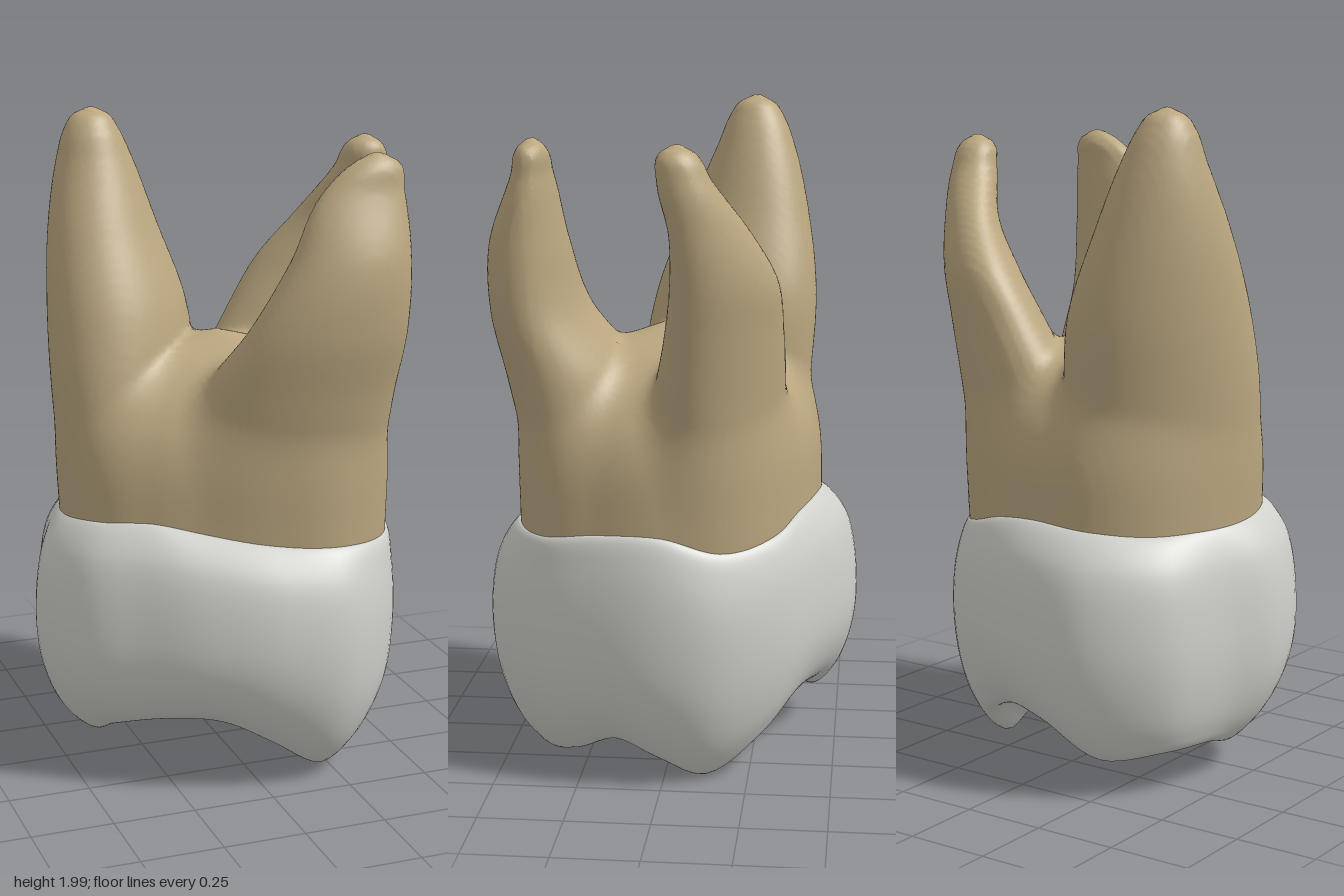
import * as THREE from 'three';

const V = (x, y, z) => new THREE.Vector3(x, y, z);
const mix = THREE.MathUtils.lerp;

function smoothMesh(pos, index, material, name) {
  const g = new THREE.BufferGeometry();
  g.setAttribute('position', new THREE.Float32BufferAttribute(pos, 3));
  g.setIndex(index);
  g.computeVertexNormals();
  const mesh = new THREE.Mesh(g, material);
  mesh.name = name;
  return mesh;
}

// Smooth surface through closed rings of points, ordered from top to bottom.
function loft(rings, material, name, cols, rows) {
  const curves = rings.map(r => new THREE.CatmullRomCurve3(r, true));
  const pos = [], index = [];
  for (let i = 0; i < cols; i++) {
    const column = new THREE.CatmullRomCurve3(curves.map(c => c.getPoint(i / cols)));
    for (let j = 0; j <= rows; j++) pos.push(...column.getPoint(j / rows).toArray());
  }
  const at = (i, j) => (i % cols) * (rows + 1) + j;
  for (let i = 0; i < cols; i++) {
    for (let j = 0; j < rows; j++) {
      const a = at(i, j), b = at(i + 1, j), c = at(i + 1, j + 1), d = at(i, j + 1);
      index.push(a, b, d, b, c, d);
    }
  }
  return smoothMesh(pos, index, material, name);
}

// Smooth interpolation of rows [key, ...values] by ascending key.
const spline = rows => new THREE.CubicInterpolant(
  rows.map(r => r[0]), rows.flatMap(r => r.slice(1)), rows[0].length - 1);

// Mesh of the surface where field(x, y, z) is zero (negative inside).
function skin(field, min, size, step, material, name) {
  const n = size.map(s => Math.round(s / step) + 1);
  const id = p => (p[1] * n[2] + p[2]) * n[0] + p[0];
  const values = new Float32Array(n[0] * n[1] * n[2]);
  const eachPoint = visit => {
    for (let j = 0; j < n[1] - 1; j++) for (let k = 0; k < n[2] - 1; k++) for (let i = 0; i < n[0] - 1; i++) visit([i, j, k]);
  };
  values.fill(1);
  eachPoint(p => { values[id(p)] = field(...p.map((c, a) => min[a] + c * step)); });
  const shift = (p, a, d) => p.map((c, i) => (i === a ? c + d : c));
  const pos = [], index = [], made = new Map();
  // One vertex per cell, at the mean of its edge crossings
  const vertex = cell => {
    if (made.has(id(cell))) return made.get(id(cell));
    const sum = [0, 0, 0];
    let count = 0;
    for (let c = 0; c < 8; c++) {
      const p = [cell[0] + (c & 1), cell[1] + (c >> 1 & 1), cell[2] + (c >> 2)];
      for (let a = 0; a < 3; a++) {
        if (c >> a & 1) continue;
        const f = values[id(p)], h = values[id(shift(p, a, 1))];
        if ((f < 0) === (h < 0)) continue;
        shift(p, a, f / (f - h)).forEach((v, i) => { sum[i] += v; });
        count++;
      }
    }
    pos.push(...sum.map((v, i) => min[i] + v / count * step));
    made.set(id(cell), pos.length / 3 - 1);
    return pos.length / 3 - 1;
  };
  // One quad across each grid edge that crosses the surface
  eachPoint(p => {
    for (let a = 0; a < 3; a++) {
      const inside = values[id(p)] < 0, u = (a + 1) % 3, v = (a + 2) % 3;
      if (inside === values[id(shift(p, a, 1))] < 0 || p[u] < 1 || p[v] < 1) continue;
      const q = [p, shift(p, u, -1), shift(shift(p, u, -1), v, -1), shift(p, v, -1)].map(vertex);
      if (!inside) q.reverse();
      index.push(q[0], q[1], q[2], q[0], q[2], q[3]);
    }
  });
  return smoothMesh(pos, index, material, name);
}

// Outlines of the tooth, sixteen points around from +x towards +z: [x, z, y]
const NECK = [
  [.49, 0, .77], [.47, .19, .77], [.41, .36, .75], [.24, .455, .755],
  [.03, .42, .77], [-.16, .335, .80], [-.30, .26, .825], [-.43, .16, .815],
  [-.475, 0, .80], [-.45, -.17, .79], [-.37, -.33, .78], [-.20, -.44, .79],
  [0, -.44, .80], [.17, -.39, .78], [.32, -.32, .74], [.45, -.17, .72]];
const BELLY = [
  [.54, 0], [.505, .20], [.42, .40], [.24, .54],
  [.03, .54], [-.18, .46], [-.35, .35], [-.51, .225],
  [-.58, 0], [-.525, -.18], [-.445, -.41], [-.24, -.55],
  [0, -.54], [.20, -.46], [.38, -.345], [.51, -.17]];
const RIM = [
  [.39, .02, .068], [.37, .14, .115], [.30, .27, .055], [.20, .36, .03],
  [.04, .38, .13], [-.10, .34, .20], [-.25, .26, .20], [-.38, .14, .155],
  [-.40, 0, .09], [-.44, -.16, .13], [-.39, -.32, .13], [-.23, -.42, .105],
  [-.04, -.41, .18], [.14, -.36, .195], [.30, -.28, .12], [.35, -.12, .005]];

// Root sections from base to tip: [y, centre x, centre z, half sizes, turn]
const ROOTS = [
  [ // large back root
    [.68, -.215, -.13, .28, .2, 2.2], [1.1, -.25, -.13, .3, .21, 2.2], [1.4, -.262, -.165, .275, .205, 2.2],
    [1.65, -.295, -.2, .2, .16, 2.2], [1.85, -.312, -.22, .122, .112, 2.2], [1.94, -.32, -.22, .082, .078, 2.2],
    [1.98, -.32, -.22, .048, .048, 2.2], [2.0, -.32, -.22, 0, 0, 2.2]],
  [ // broad front root
    [.68, .13, .21, .27, .17, .28], [1.0, .13, .24, .3, .19, .28], [1.2, .155, .29, .285, .185, .25],
    [1.4, .21, .38, .235, .14, .15], [1.6, .265, .405, .18, .112, .1], [1.8, .31, .387, .122, .058, .05],
    [1.885, .35, .382, .058, .035, .05], [1.91, .35, .38, 0, 0, .05]],
  [ // curved side root
    [.68, .2, -.13, .22, .17, .4], [1.15, .265, -.155, .25, .165, .5], [1.35, .335, -.172, .22, .135, .6],
    [1.5, .395, -.175, .19, .112, .7], [1.65, .46, -.138, .137, .082, .75], [1.8, .502, -.07, .083, .07, .75],
    [1.88, .505, -.05, .048, .045, .75], [1.905, .505, -.05, 0, 0, .75]],
];

// Distance field of the three roots melting into the trunk
function rootField() {
  const roots = ROOTS.map(rows => ({ at: spline(rows), tip: rows[rows.length - 1][0] }));
  const polar = NECK.map(([x, z]) => [(Math.atan2(z, x) + 2 * Math.PI) % (2 * Math.PI), Math.hypot(x, z)]);
  const outline = spline([...polar, [2 * Math.PI, polar[0][1]]]);
  const taper = spline([[.6, .975], [.8, .985], [1, .95], [1.1, .86], [1.2, .67], [1.28, .4], [1.34, 0]]);
  const blend = (a, b, k) => Math.min(a, b) - Math.max(k - Math.abs(a - b), 0) ** 2 / (4 * k);
  return (x, y, z) => {
    const angle = (Math.atan2(z, x) + 2 * Math.PI) % (2 * Math.PI);
    const reach = outline.evaluate(angle)[0] * taper.evaluate(y)[0];
    let d = (Math.hypot(x, z) - reach) * .9 + Math.max(0, y - 1.34);
    for (const { at, tip } of roots) {
      const [cx, cz, ra, rb, turn] = at.evaluate(y);
      const a = Math.max(ra, .004), b = Math.max(rb, .004), dx = x - cx + 1e-6, dz = z - cz;
      const p = dx * Math.cos(turn) + dz * Math.sin(turn), q = dz * Math.cos(turn) - dx * Math.sin(turn);
      const k = Math.hypot(p / a, q / b);
      d = blend(d, k * (k - 1) / Math.hypot(p / a / a, q / b / b) + Math.max(0, y - tip), .07);
    }
    return d;
  };
}

export function createModel() {
  const enamel = new THREE.MeshStandardMaterial({ color: 0xd0d0cb });
  enamel.name = 'enamel';
  const dentine = new THREE.MeshStandardMaterial({ color: 0xbba780 });
  dentine.name = 'root';
  const group = new THREE.Group();
  group.name = 'molar';

  // Crown: from a tucked-in neck over the belly and cusps into the central pit
  const between = (P, Q, t, y) => P.map((p, i) => V(mix(p[0], Q[i][0], t), y(i), mix(p[1], Q[i][1], t)));
  const towardPit = (t, yt) => RIM.map(([x, z, y]) => V(mix(x, -.03, t), mix(y, .26, yt), mix(z, -.01, t)));
  group.add(loft([
    NECK.map(([x, z, y]) => V(x * .95, y, z * .95)),
    between(NECK, BELLY, .04, i => NECK[i][2] - .005),
    between(NECK, BELLY, .7, i => NECK[i][2] - .1),
    between(BELLY, RIM, 0, () => .48),
    between(BELLY, RIM, .13, i => mix(.5, RIM[i][2], .5)),
    between(BELLY, RIM, .52, i => mix(.5, RIM[i][2], .84)),
    towardPit(0, 0),
    towardPit(.2, .3),
    towardPit(.6, .75),
    towardPit(1, 1),
  ], enamel, 'crown', 96, 72));

  group.add(skin(rootField(), [-.6, .68, -.56], [1.26, 1.42, 1.2], .016, dentine, 'roots'));
  return group;
}
